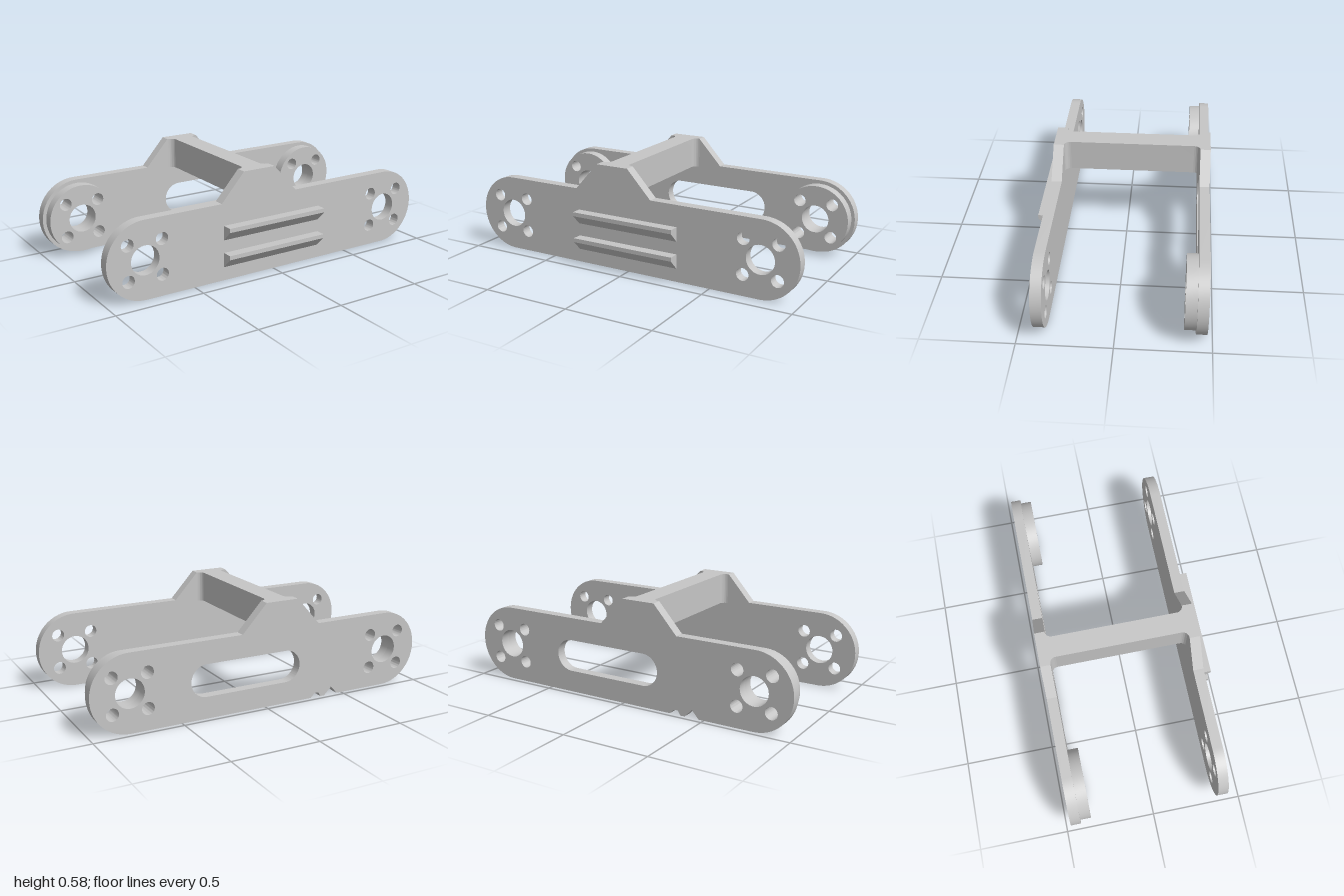
import * as THREE from 'three';
import { toCreasedNormals } from 'three/addons/utils/BufferGeometryUtils.js';

const CX = 0.785, CY = 0.215, R = 0.215; // end-hole centres and end radius

function circle(x, y, r) {
  return new THREE.Path().absarc(x, y, r, 0, Math.PI * 2, true);
}

// Large centre hole with four screw holes around it
function holePattern(x) {
  const holes = [circle(x, CY, 0.08)];
  for (const sx of [-1, 1]) for (const sy of [-1, 1]) {
    holes.push(circle(x + sx * 0.097, CY + sy * 0.097, 0.035));
  }
  return holes;
}

function extrude(shape, depth) {
  const geo = new THREE.ExtrudeGeometry(shape, { depth, bevelEnabled: false, curveSegments: 24 });
  return toCreasedNormals(geo, 0.5);
}

// Round-ended plate with a raised tab on top; optional notches in the lower edge
function plateShape(notches = []) {
  const s = new THREE.Shape();
  s.moveTo(-CX, 0);
  for (const [x, y] of notches) s.lineTo(x, y);
  s.lineTo(CX, 0);
  s.absarc(CX, CY, R, -Math.PI / 2, Math.PI / 2, false);
  for (const [x, y] of [[0.143, 0.43], [0, 0.585], [-0.195, 0.585], [-0.333, 0.43]]) s.lineTo(x, y);
  s.lineTo(-CX, 0.43);
  s.absarc(-CX, CY, R, Math.PI / 2, Math.PI * 1.5, false);
  s.holes.push(...holePattern(-CX), ...holePattern(CX));
  return s;
}

export function createModel() {
  const model = new THREE.Group();
  const grey = new THREE.MeshStandardMaterial({ color: 0xc6c6c6 });
  grey.name = 'light grey';

  function add(name, geo, z = 0) {
    const mesh = new THREE.Mesh(geo, grey);
    mesh.name = name;
    mesh.position.z = z;
    model.add(mesh);
    return mesh;
  }

  // Front plate
  add('frontPlate', extrude(plateShape(), 0.058), 0.355);

  // Back plate with long slot and small edge notches
  const back = plateShape([[-0.47, 0], [-0.43, 0.045], [-0.385, 0], [-0.36, 0], [-0.345, 0.025], [-0.32, 0.025], [-0.295, 0]]);
  const slot = new THREE.Path();
  slot.absarc(0.355, 0.212, 0.09, Math.PI / 2, -Math.PI / 2, true);
  slot.absarc(-0.125, 0.212, 0.09, -Math.PI / 2, -Math.PI * 1.5, true);
  slot.closePath();
  back.holes.push(slot);
  add('backPlate', extrude(back, 0.057), -0.471);

  // Round bosses on the inner side of the back plate
  for (const side of [-1, 1]) {
    const boss = new THREE.Shape().absarc(side * CX, CY, 0.195, 0, Math.PI * 2, false);
    boss.holes.push(...holePattern(side * CX));
    add(side > 0 ? 'leftBoss' : 'rightBoss', extrude(boss, 0.06), -0.414);
  }

  // Cross bar with filleted ends, outlined in plan and extruded upward
  const xa = -0.155, xb = -0.035, f = 0.035, za = -0.355, zb = 0.414;
  const bar = new THREE.Shape();
  bar.moveTo(xa - f, za);
  bar.lineTo(xb + f, za);
  bar.absarc(xb + f, za + f, f, -Math.PI / 2, -Math.PI, true);
  bar.absarc(xb + f, zb - f, f, Math.PI, Math.PI / 2, true);
  bar.lineTo(xa - f, zb);
  bar.absarc(xa - f, zb - f, f, Math.PI / 2, 0, true);
  bar.absarc(xa - f, za + f, f, 0, -Math.PI / 2, true);
  const barGeo = extrude(bar, 0.175);
  barGeo.rotateX(-Math.PI / 2);
  add('crossBar', barGeo).position.y = 0.41;

  // Two wedge ribs on the front plate
  for (const [name, top] of [['upperRib', 0.308], ['lowerRib', 0.156]]) {
    const rib = new THREE.Shape([[-0.413, top - 0.081], [-0.413, top], [-0.471, top], [-0.471, top - 0.023]]
      .map(([u, v]) => new THREE.Vector2(u, v)));
    const geo = extrude(rib, 0.623);
    geo.rotateY(Math.PI / 2); // profile u becomes -z, depth becomes +x
    add(name, geo).position.x = -0.32;
  }
  return model;
}
